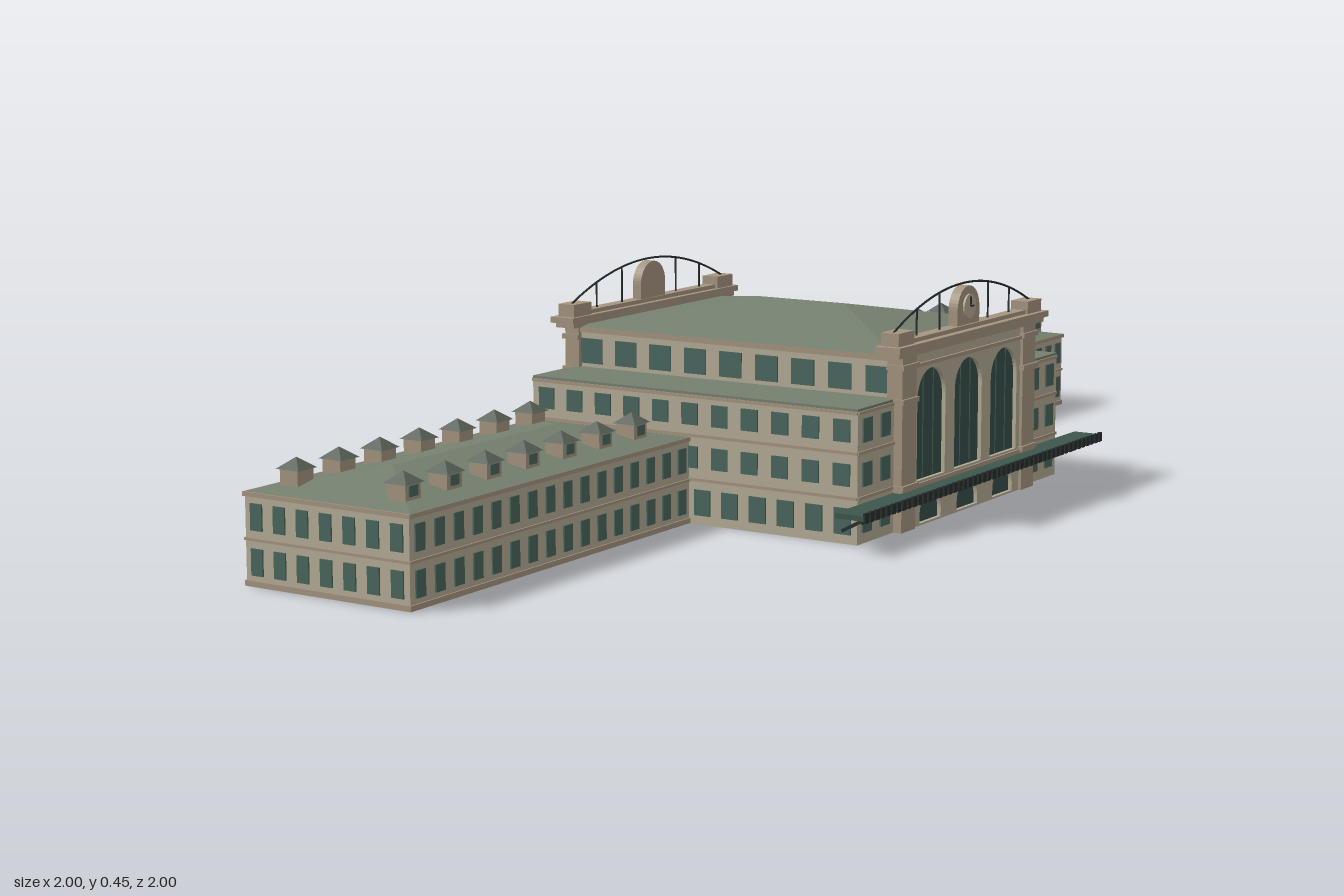
import * as THREE from 'three';
import { mergeGeometries } from 'three/addons/utils/BufferGeometryUtils.js';

const mat = (name, color, side = THREE.FrontSide) =>
  Object.assign(new THREE.MeshStandardMaterial({ color, side, flatShading: true }), { name });

export function createModel() {
  const M = {
    wall: mat('limestone', 0xb4ab95, THREE.DoubleSide),
    trim: mat('trim stone', 0xa5947f),
    roof: mat('roof copper', 0x75806f, THREE.DoubleSide),
    glass: mat('window glass', 0x4a665e),
    arch: mat('tall window glass', 0x36504a),
    dormerRoof: mat('dormer slate', 0x59635a),
    canopy: mat('canopy green', 0x3e564c),
    iron: mat('dark iron', 0x262e2c),
  };
  const model = new THREE.Group();
  const station = new THREE.Group();
  station.name = 'station';
  station.rotation.y = Math.PI / 4;
  model.add(station);

  const add = (parent, name, geo, material) => {
    const m = new THREE.Mesh(Array.isArray(geo) ? mergeGeometries(geo) : geo, material);
    m.name = name;
    parent.add(m);
    return m;
  };
  // Box given by its limits on each axis
  const box = (x0, x1, y0, y1, z0, z1) =>
    new THREE.BoxGeometry(x1 - x0, y1 - y0, z1 - z0).translate((x0 + x1) / 2, (y0 + y1) / 2, (z0 + z1) / 2);
  // Four walls without floor or ceiling
  const openBox = (...a) => {
    const g = box(...a), i = Array.from(g.index.array);
    g.setIndex([...i.slice(0, 12), ...i.slice(24)]);
    return g;
  };
  // Hipped roof, with the ridge along the longer side
  const hipRoof = (x0, x1, z0, z1, y0, y1) => {
    const alongX = x1 - x0 > z1 - z0, s = Math.min(x1 - x0, z1 - z0) / 2;
    const cx = (x0 + x1) / 2, cz = (z0 + z1) / 2;
    const A = [x0, y0, z1], B = [x1, y0, z1], C = [x1, y0, z0], D = [x0, y0, z0];
    const P = alongX ? [x0 + s, y1, cz] : [cx, y1, z1 - s];
    const Q = alongX ? [x1 - s, y1, cz] : [cx, y1, z0 + s];
    const tris = alongX
      ? [A, B, Q, A, Q, P, B, C, Q, C, D, P, C, P, Q, D, A, P]
      : [A, B, P, B, C, Q, B, Q, P, C, D, Q, D, A, P, D, P, Q];
    const g = new THREE.BufferGeometry();
    g.setAttribute('position', new THREE.Float32BufferAttribute(tris.flat(), 3));
    g.computeVertexNormals();
    return g;
  };
  // Rows of window plates: a wall at z (axis 'z') or at x (axis 'x')
  const windowRows = (axis, at, from, to, count, rows, w, h) => {
    const out = [], step = (to - from) / count;
    for (const y of rows) for (let i = 0; i < count; i++) {
      const c = from + (i + 0.5) * step;
      out.push(axis === 'z'
        ? box(c - w / 2, c + w / 2, y - h / 2, y + h / 2, at - 0.003, at + 0.003)
        : box(at - 0.003, at + 0.003, y - h / 2, y + h / 2, c - w / 2, c + w / 2));
    }
    return out;
  };
  // Round-headed outline
  const archPath = (T, cx, y0, w, top) => {
    const p = new T(), r = w / 2;
    p.moveTo(cx - r, y0);
    p.lineTo(cx + r, y0);
    p.lineTo(cx + r, top - r);
    p.absarc(cx, top - r, r, 0, Math.PI, false);
    p.lineTo(cx - r, y0);
    return p;
  };
  const extrude = (shape, depth) =>
    new THREE.ExtrudeGeometry(shape, { depth, bevelEnabled: false, curveSegments: 10 });

  // Wings
  const V = 0.18;
  const wing = (name, x0, x1, outer, d0) => {
    const g = new THREE.Group();
    g.name = name;
    station.add(g);
    add(g, 'wingWalls', box(x0, x1, 0, 0.165, -V, V), M.wall);
    add(g, 'wingRoof', hipRoof(x0, x1, -V - 0.003, V + 0.003, 0.168, 0.203), M.roof);
    add(g, 'wingBands', [
      box(x0 - 0.003, x1 + 0.003, 0.16, 0.168, -V - 0.004, V + 0.004),
      box(x0 - 0.002, x1 + 0.002, 0.082, 0.087, -V - 0.003, V + 0.003),
      box(x0 - 0.002, x1 + 0.002, 0.001, 0.011, -V - 0.003, V + 0.003)], M.trim);
    const rows = [0.045, 0.125];
    add(g, 'wingWindows', [
      ...windowRows('z', V, x0, x1, 16, rows, 0.026, 0.048),
      ...windowRows('z', -V, x0, x1, 16, rows, 0.026, 0.048),
      ...windowRows('x', outer, -V, V, 7, rows, 0.026, 0.048)], M.glass);
    const bodies = [], tops = [], panes = [];
    for (let i = 0; i < 7; i++) for (const s of [-1, 1]) {
      const x = d0 + i * 0.1145, z = s * 0.118;
      bodies.push(box(x - 0.021, x + 0.021, 0.172, 0.205, z - 0.02, z + 0.02));
      panes.push(box(x - 0.012, x + 0.012, 0.183, 0.202, z + s * 0.02 - 0.002, z + s * 0.02 + 0.002));
      tops.push(new THREE.ConeGeometry(0.036, 0.02, 4).rotateY(Math.PI / 4).translate(x, 0.215, z));
    }
    add(g, 'dormerBodies', bodies, M.trim);
    add(g, 'dormerPanes', panes, M.glass);
    add(g, 'dormerRoofs', tops, M.dormerRoof);
  };
  wing('rightWing', -1.23, -0.375, -1.23, -1.165);
  wing('leftWing', 0.445, 1.23, 1.23, 0.498);

  // Central block with a lower flat roof around the tall hall
  const X0 = -0.375, X1 = 0.445, Z0 = -0.185, Z1 = 0.55, H0 = -0.23, H1 = 0.3, C = 0.035;
  add(station, 'blockWalls', openBox(X0, X1, 0, 0.25, Z0, Z1), M.wall);
  add(station, 'blockRoof', [box(X0, H0, 0.248, 0.255, Z0, Z1), box(H1, X1, 0.248, 0.255, Z0, Z1)], M.roof);
  add(station, 'hallWalls', openBox(H0, H1, 0, 0.335, Z0, Z1), M.wall);
  add(station, 'hallRoof', hipRoof(H0 - 0.005, H1 + 0.005, Z0, Z1, 0.336, 0.385), M.roof);
  const blockWindows = [];
  for (const x of [X0, X1]) {
    blockWindows.push(...windowRows('x', x, Z0, Z1, 11, [0.13, 0.213], 0.036, 0.042));
    blockWindows.push(...windowRows('x', x, V, Z1, 6, [0.043], 0.036, 0.05));
  }
  for (const x of [H0, H1]) blockWindows.push(...windowRows('x', x, Z0, Z1, 9, [0.288], 0.05, 0.05));
  for (const z of [Z0, Z1]) for (const [a, b] of [[X0, H0 - 0.01], [H1 + 0.01, X1]])
    blockWindows.push(...windowRows('z', z, a, b, 2, [0.043, 0.13, 0.213], 0.034, 0.045));
  add(station, 'blockWindows', blockWindows, M.glass);
  const bands = [];
  for (const x of [X0, X1]) for (const y of [0.087, 0.172, 0.247])
    bands.push(box(x - 0.003, x + 0.003, y - 0.003, y + 0.003, Z0, Z1));
  for (const z of [Z0, Z1]) for (const y of [0.087, 0.172, 0.247])
    bands.push(box(X0, H0, y - 0.003, y + 0.003, z - 0.003, z + 0.003),
      box(H1, X1, y - 0.003, y + 0.003, z - 0.003, z + 0.003));
  for (const x of [H0, H1]) bands.push(box(x - 0.005, x + 0.005, 0.325, 0.336, Z0, Z1));
  add(station, 'blockBands', bands, M.trim);

  // Portals: arched screen, piers, cornice, clock stone and iron arch
  const portal = (name, z, turn) => {
    const g = new THREE.Group();
    g.name = name;
    g.position.set(C, 0, z);
    g.rotation.y = turn;
    station.add(g);
    const screen = new THREE.Shape();
    [[-0.24, 0], [0.24, 0], [0.24, 0.335], [-0.24, 0.335]].forEach((p, i) =>
      i ? screen.lineTo(...p) : screen.moveTo(...p));
    const panes = [], mullions = [];
    for (const x of [-0.15, 0, 0.15]) {
      screen.holes.push(archPath(THREE.Path, x, 0.088, 0.112, 0.3), archPath(THREE.Path, x, 0.004, 0.085, 0.062));
      panes.push(box(x - 0.056, x + 0.056, 0.088, 0.3, 0, 0.004), box(x - 0.043, x + 0.043, 0.004, 0.062, 0, 0.004));
      for (const d of [-0.02, 0.02]) mullions.push(box(x + d - 0.001, x + d + 0.001, 0.088, 0.295, 0.004, 0.006));
    }
    add(g, 'archScreen', extrude(screen, 0.012), M.wall);
    add(g, 'archGlass', panes, M.arch);
    add(g, 'mullions', mullions, M.canopy);
    const stone = [
      box(-0.298, 0.298, 0.335, 0.345, -0.02, 0.024),
      box(-0.308, 0.308, 0.345, 0.357, -0.024, 0.03),
      box(-0.28, 0.28, 0.357, 0.365, -0.012, 0.015),
      box(-0.24, 0.24, 0.308, 0.315, 0, 0.017),
      box(-0.24, 0.24, 0.076, 0.084, 0, 0.016)];
    for (const s of [-1, 1]) {
      const x = s * 0.248;
      stone.push(box(x - 0.027, x + 0.027, 0, 0.335, -0.015, 0.018));
      for (const y of [0.085, 0.25, 0.315]) stone.push(box(x - 0.031, x + 0.031, y - 0.005, y + 0.005, -0.015, 0.023));
      stone.push(box(s * 0.265 - 0.03, s * 0.265 + 0.03, 0.357, 0.382, -0.018, 0.02));
    }
    add(g, 'portalStone', stone, M.trim);
    add(g, 'clockStone', extrude(archPath(THREE.Shape, 0, 0.357, 0.09, 0.44), 0.02).translate(0, 0, -0.01), M.trim);
    add(g, 'clockFace', new THREE.CylinderGeometry(0.024, 0.024, 0.006, 20).rotateX(Math.PI / 2)
      .translate(0, 0.4, 0.011), M.wall);
    add(g, 'clockHands', [box(-0.0015, 0.0015, 0.4, 0.419, 0.014, 0.016),
      box(0, 0.013, 0.3985, 0.4015, 0.014, 0.016)], M.iron);
    const rise = (x) => 0.378 + 0.067 * (1 - (x / 0.285) ** 2);
    const pts = Array.from({ length: 21 }, (_, i) => -0.285 + i * 0.0285).map((x) => new THREE.Vector3(x, rise(x), 0));
    add(g, 'ironArch', new THREE.TubeGeometry(new THREE.CatmullRomCurve3(pts), 40, 0.0022, 5), M.iron);
    add(g, 'ironPosts', [-0.19, -0.1, 0.1, 0.19].map((x) =>
      box(x - 0.0014, x + 0.0014, 0.36, rise(x), -0.0014, 0.0014)), M.iron);
  };
  portal('frontPortal', Z1, 0);
  portal('backPortal', Z0, Math.PI);

  // Entrance canopy with toothed edge and sloping brackets
  add(station, 'canopySlab', box(-0.457, 0.537, 0.066, 0.076, Z1, 0.61), M.canopy);
  const teeth = [], brackets = [];
  for (let i = 0; i < 50; i++) {
    const x = -0.45 + i * 0.02;
    teeth.push(box(x - 0.006, x + 0.006, 0.062, 0.081, 0.608, 0.614));
  }
  for (let i = 0; i < 14; i++)
    brackets.push(new THREE.BoxGeometry(0.005, 0.006, 0.062).rotateX(-0.5)
      .translate(-0.435 + i * 0.073, 0.054, 0.58));
  add(station, 'canopyTeeth', teeth, M.iron);
  add(station, 'canopyBrackets', brackets, M.iron);
  return model;
}
